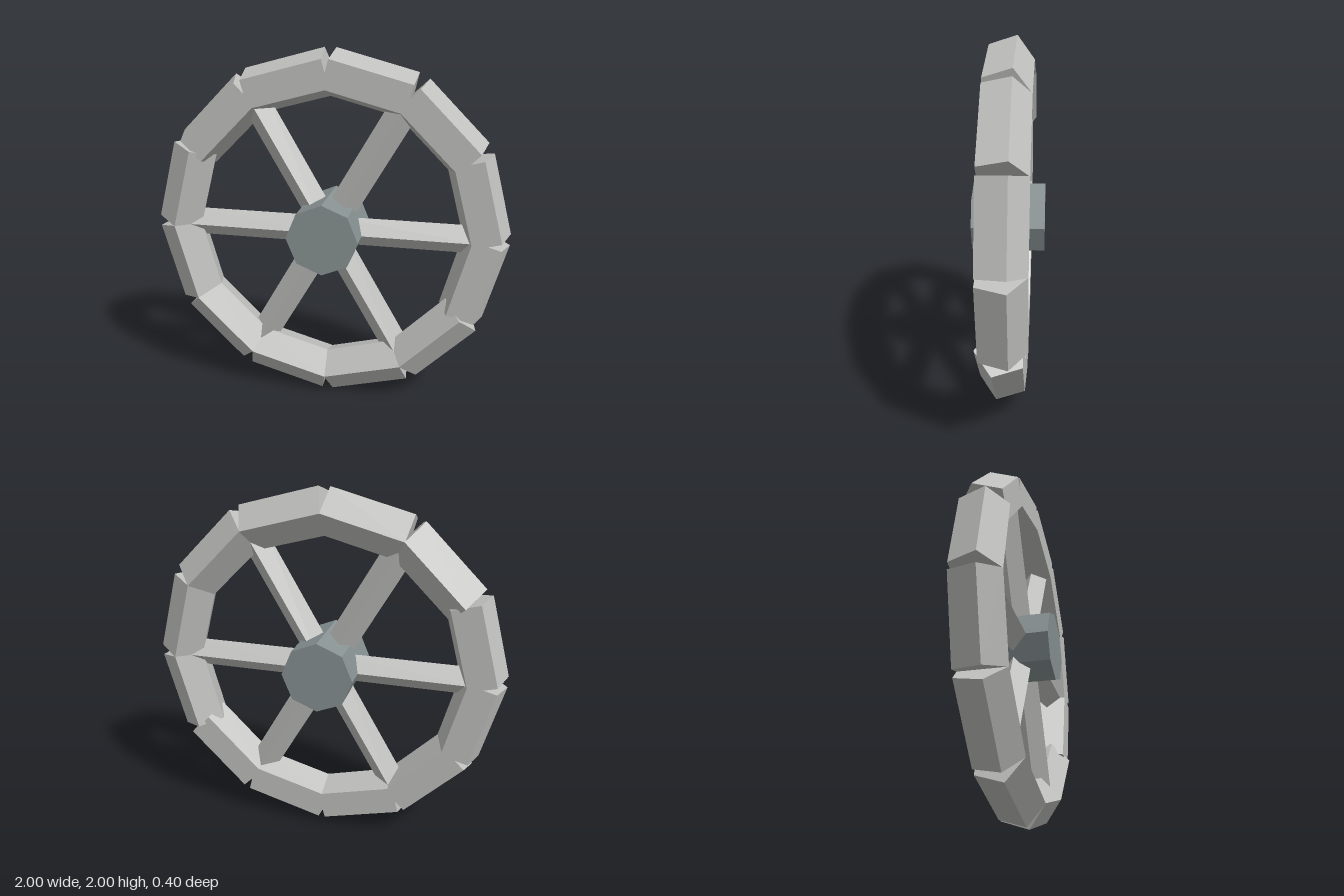
import * as THREE from 'three';

export function createModel() {
  const wheel = new THREE.Group();
  wheel.name = 'wheel';
  const paleGrey = new THREE.MeshStandardMaterial({ color: 0xc0c0be, flatShading: true });
  paleGrey.name = 'pale grey';
  const slateGrey = new THREE.MeshStandardMaterial({ color: 0x879192, flatShading: true });
  slateGrey.name = 'slate grey';

  function add(name, geometry, material, radius, angle) {
    const mesh = new THREE.Mesh(geometry, material);
    mesh.name = name;
    mesh.position.set(radius * Math.cos(angle), 1 + radius * Math.sin(angle), 0);
    mesh.rotation.z = angle;
    wheel.add(mesh);
  }

  // Rim: twelve five-sided bars; half have their ridge at the front, half at the back
  const ridgeFront = new THREE.CylinderGeometry(0.134, 0.134, 0.456, 5);
  const ridgeBack = ridgeFront.clone().rotateY(Math.PI);
  for (let i = 0; i < 12; i++) {
    const angle = THREE.MathUtils.degToRad(-15 + 30 * i);
    add('rimSegment', i < 6 ? ridgeBack : ridgeFront, paleGrey, 0.846, angle);
  }

  // Spokes: six diamond-section bars from hub to rim
  const spoke = new THREE.CylinderGeometry(0.08, 0.08, 0.84, 4).rotateZ(-Math.PI / 2);
  for (let i = 0; i < 6; i++) add('spoke', spoke, paleGrey, 0.42, (i * Math.PI) / 3);

  // Hub: octagonal barrel along the axle
  const hub = new THREE.CylinderGeometry(0.2, 0.2, 0.4, 8).rotateX(Math.PI / 2);
  add('hub', hub, slateGrey, 0, 0);

  return wheel;
}
